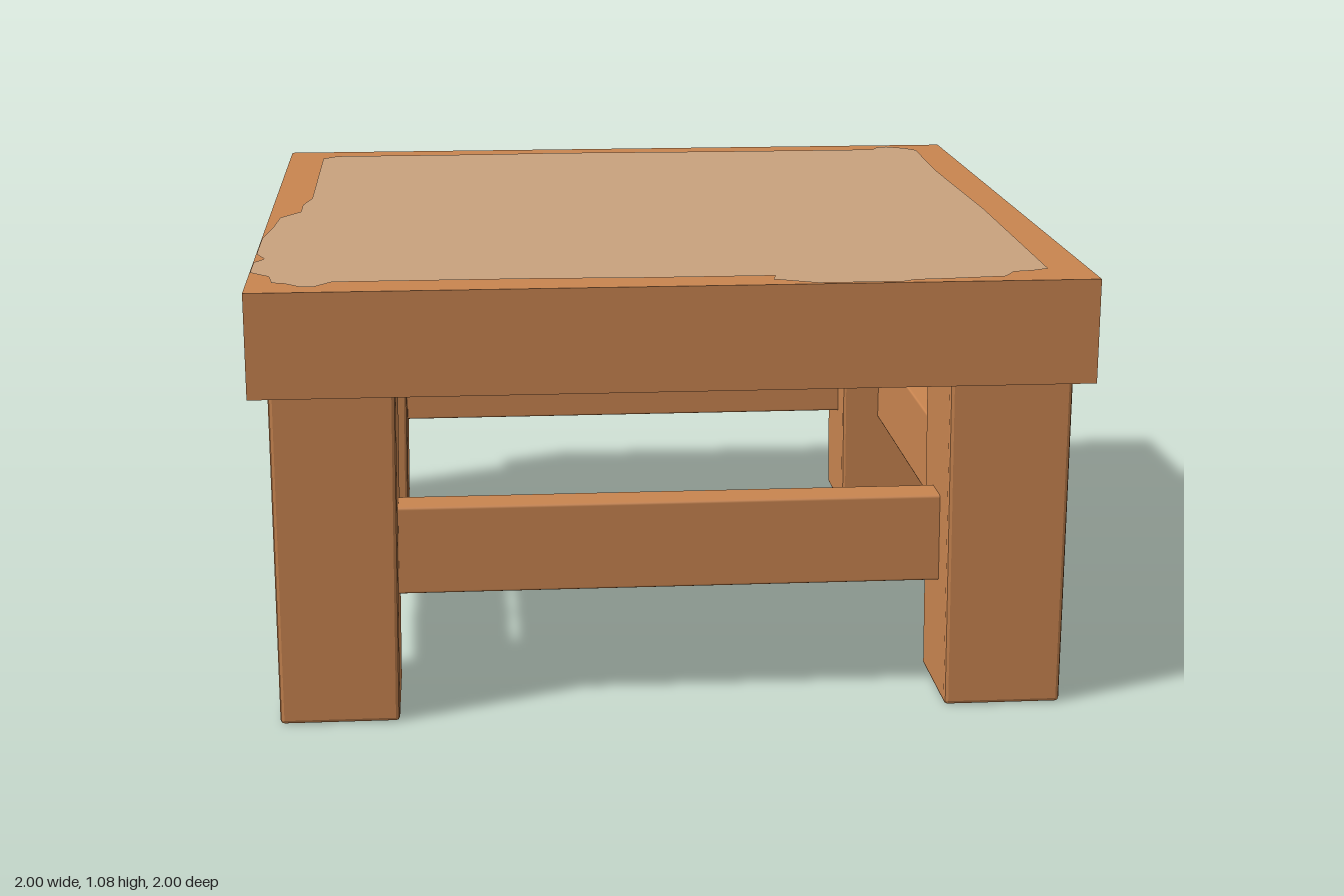
import * as THREE from 'three';
import { RoundedBoxGeometry } from 'three/addons/geometries/RoundedBoxGeometry.js';

export function createModel() {
  const group = new THREE.Group();
  const wood = new THREE.MeshStandardMaterial({ color: 0xc98550 });
  wood.name = 'wood';
  const wornWood = new THREE.MeshStandardMaterial({ color: 0xc9a27e });
  wornWood.name = 'pale worn wood';

  const add = (name, geometry, material, x, y, z) => {
    const mesh = new THREE.Mesh(geometry, material);
    mesh.name = name;
    mesh.position.set(x, y, z);
    group.add(mesh);
    return mesh;
  };

  // Thick square top
  add('tableTop', new THREE.BoxGeometry(2, 0.253, 2), wood, 0, 0.9515, 0);

  // Worn patch with an irregular outline, as [x, z] points
  const outline = [
    [-0.9, -0.87], [-0.86, -0.91], [-0.42, -0.91], [-0.2, -0.92], [0.3, -0.91],
    [0.78, -0.91], [0.8, -0.95], [0.83, -0.96], [0.88, -0.93], [0.91, -0.89],
    [0.9, -0.5], [0.91, 0.1], [0.9, 0.88], [0.86, 0.9], [0.81, 0.91],
    [0.78, 0.96], [0.64, 0.975], [0.56, 0.98], [0.53, 0.998], [0.33, 0.998],
    [0.23, 0.95], [0.24, 0.91], [-0.1, 0.91], [-0.3, 0.9], [-0.8, 0.9],
    [-0.84, 0.95], [-0.87, 0.95], [-0.91, 0.91], [-0.94, 0.9], [-0.95, 0.83],
    [-0.998, 0.78], [-0.998, 0.66], [-0.975, 0.62], [-0.998, 0.56],
    [-0.998, 0.36], [-0.98, 0.22], [-0.97, 0.08], [-0.92, 0], [-0.92, -0.1],
    [-0.9, -0.2],
  ];
  const patch = new THREE.Shape(outline.map(([x, z]) => new THREE.Vector2(x, -z)));
  add('wornPatch', new THREE.ShapeGeometry(patch).rotateX(-Math.PI / 2), wornWood, 0, 1.08, 0);

  // Four stout legs, narrowing slightly on their inner sides towards the floor
  for (const sx of [-1, 1]) {
    for (const sz of [-1, 1]) {
      const leg = new RoundedBoxGeometry(0.298, 0.835, 0.298, 1, 0.01);
      const p = leg.attributes.position;
      for (let i = 0; i < p.count; i++) {
        const drop = 0.5 - p.getY(i) / 0.835;
        if (p.getX(i) * sx < 0) p.setX(i, p.getX(i) + sx * 0.01 * drop);
        if (p.getZ(i) * sz < 0) p.setZ(i, p.getZ(i) + sz * 0.012 * drop);
      }
      leg.computeVertexNormals();
      const name = (sz > 0 ? 'front' : 'back') + (sx > 0 ? 'Left' : 'Right') + 'Leg';
      add(name, leg, wood, sx * 0.807, 0.4175, sz * 0.805);
    }
  }

  // Four rails joining the legs
  for (const s of [-1, 1]) {
    add(s > 0 ? 'frontRail' : 'backRail',
      new RoundedBoxGeometry(1.4, 0.22, 0.095, 1, 0.007), wood, 0, 0.4, s * 0.805);
    add(s > 0 ? 'leftRail' : 'rightRail',
      new RoundedBoxGeometry(0.095, 0.22, 1.4, 1, 0.007), wood, s * 0.82, 0.4, 0);
  }
  return group;
}
